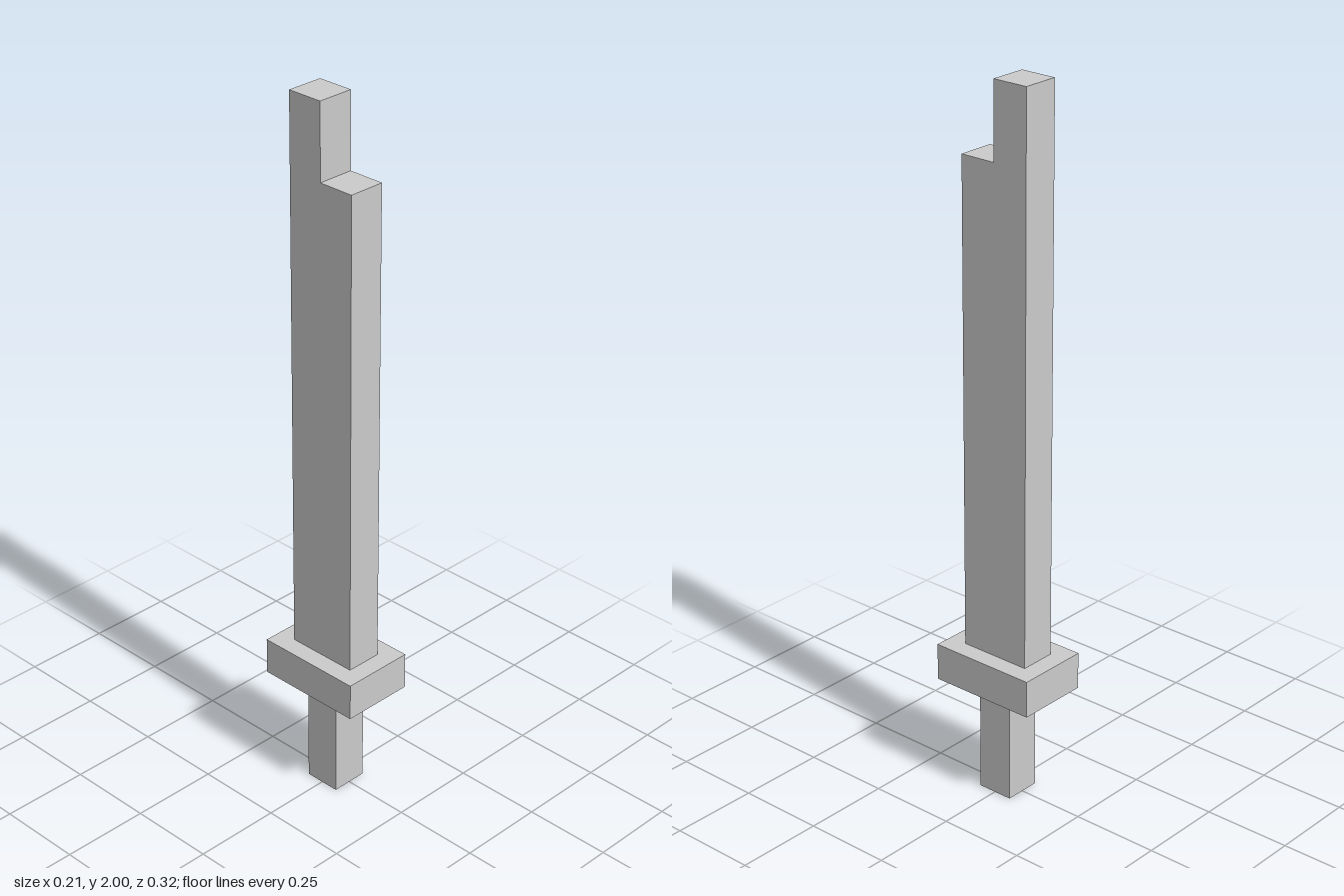
import * as THREE from 'three';

// The whole sword sits on a grid of 19 equal units along its height
const U = 2 / 19;

export function createModel() {
  const group = new THREE.Group();
  group.name = 'sword';
  const material = new THREE.MeshStandardMaterial({ color: 0xcccccc, flatShading: true });

  const add = (name, geometry) => {
    const mesh = new THREE.Mesh(geometry, material);
    mesh.name = name;
    group.add(mesh);
  };

  // Box given in grid units, standing on height y
  const block = (width, height, depth, y) =>
    new THREE.BoxGeometry(width * U, height * U, depth * U).translate(0, (y + height / 2) * U, 0);

  add('handle', block(1, 3, 1, 0));
  add('guard', block(2, 1, 3, 3));

  // Blade: side profile (z, y) with a stepped tip, the taller half at the back
  const profile = new THREE.Shape(
    [[-1, 4], [1, 4], [1, 17], [0, 17], [0, 19], [-1, 19]].map(([z, y]) => new THREE.Vector2(z * U, y * U))
  );
  const blade = new THREE.ExtrudeGeometry(profile, { depth: U, bevelEnabled: false });
  blade.translate(0, 0, -U / 2).rotateY(-Math.PI / 2);
  add('blade', blade);

  return group;
}
